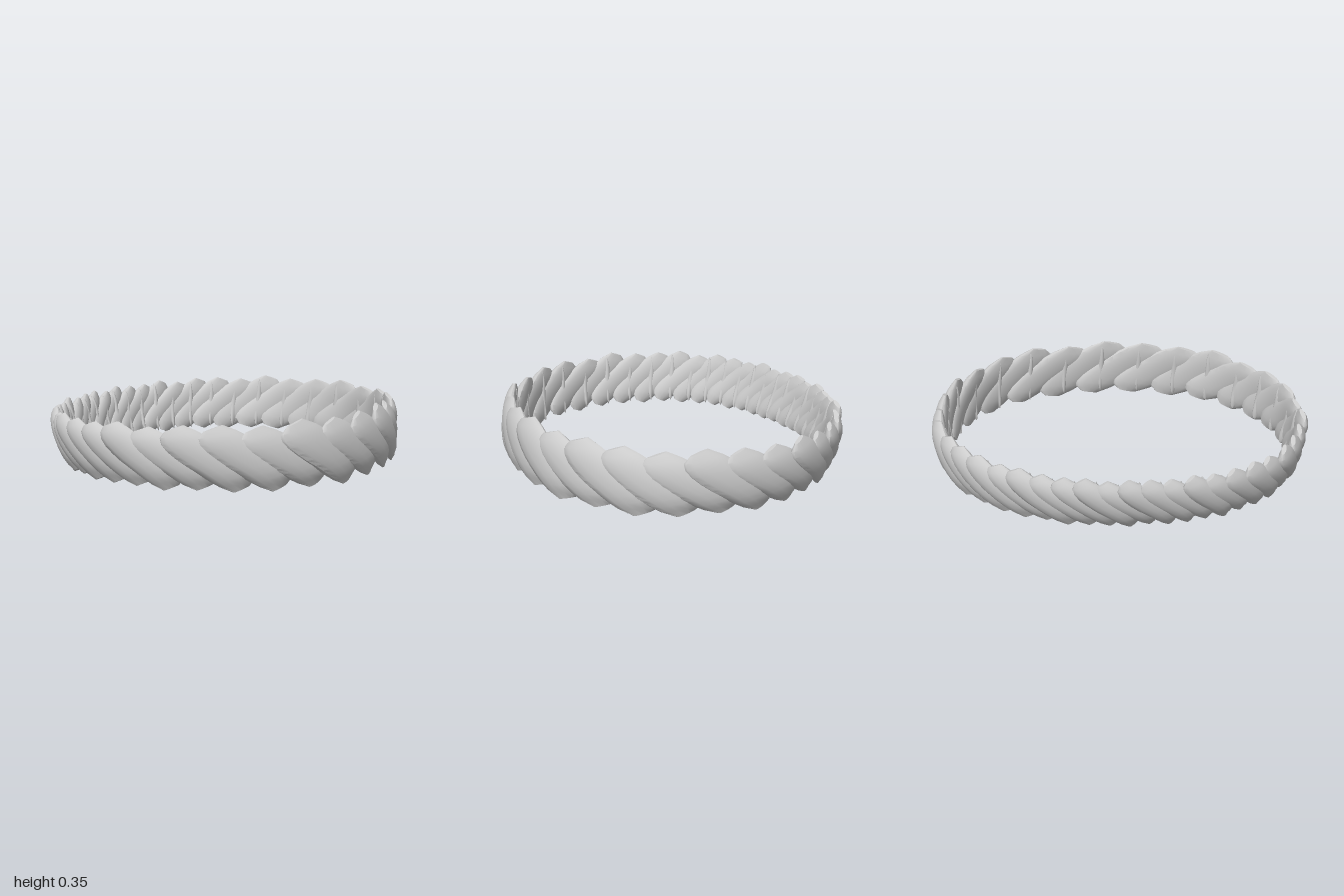
import * as THREE from 'three';
import { toCreasedNormals } from 'three/addons/utils/BufferGeometryUtils.js';

const DEG = Math.PI / 180;
const material = new THREE.MeshStandardMaterial({ color: 0xcccccc, side: THREE.DoubleSide });

// slightly skewed ring: radius every 22.5 degrees, from the left side (+x) round by the front
const radii = [0.957, 0.9, 0.853, 0.85, 0.88, 0.912, 0.937, 0.947,
  0.932, 0.875, 0.82, 0.82, 0.857, 0.92, 0.965, 0.972];
const ring = new THREE.CatmullRomCurve3(radii.map((r, i) =>
  new THREE.Vector3(r * Math.cos(i * 22.5 * DEG), 0, r * Math.sin(i * 22.5 * DEG))), true, 'centripetal');
const length = ring.getLength();

// 1 at the front left of the band, -1 at the opposite, crowded side
const frontness = (p) => Math.cos(Math.atan2(p.z, p.x) - 45 * DEG);
const flare = (p) => 0.045 - 0.055 * frontness(p);
const spacing = (p) => 0.168 + 0.066 * frontness(p);
const heightScale = (p) => 0.94 + 0.07 * frontness(p);

// maps arc position, height and radial offset onto the flared ring
function place(s, y, out) {
  const p = ring.getPointAt((((s / length) % 1) + 1) % 1);
  const r = Math.hypot(p.x, p.z), rise = (y - 0.18) * heightScale(p);
  const k = (r + out + flare(p) * rise / 0.3) / r;
  return [p.x * k, 0.18 + rise, p.z * k];
}

// lofts a closed lens section up the band, sheared along the ring
function loft(s0, { shear, width, depth, offset, tilt, low, high }) {
  const rows = 10, sides = 14, pos = [], idx = [];
  for (let j = 0; j <= rows; j++) {
    const v = j / rows, e = 2 * v - 1;
    const swell = 1 - 0.65 * Math.pow(Math.abs(e), 4);
    const lean = shear * (0.5 * e + 0.06 * Math.sin(Math.PI * e));
    for (let i = 0; i < sides; i++) {
      const a = (i / sides) * Math.PI * 2, u = Math.cos(a);
      const round = Math.sin(a) * depth * swell;
      const y = low + (high - low) * v - 0.03 * u * (1 - 0.5 * Math.abs(e));
      pos.push(...place(s0 + lean + u * width * 0.5 * swell, y,
        round + offset + tilt * u + 0.008 * (1 - 2 * e * e)));
    }
  }
  for (let j = 0; j < rows; j++) for (let i = 0; i < sides; i++) {
    const n = (i + 1) % sides, a = j * sides + i, b = j * sides + n;
    idx.push(a, a + sides, b, b, a + sides, b + sides);
  }
  const top = rows * sides;
  for (let i = 1; i < sides - 1; i++) {
    idx.push(0, i, i + 1, top, top + i + 1, top + i);
  }
  const g = new THREE.BufferGeometry();
  g.setAttribute('position', new THREE.Float32BufferAttribute(pos, 3));
  g.setIndex(idx);
  return toCreasedNormals(g, 40 * DEG);
}

export function createModel() {
  const model = new THREE.Group();
  model.name = 'twistedBand';
  const add = (name, geometry) => {
    const m = new THREE.Mesh(geometry, material);
    m.name = name;
    model.add(m);
  };

  // strand positions, scaled so the chain closes exactly
  const starts = [], steps = [];
  let s = 0;
  while (s < length) {
    const d = spacing(ring.getPointAt(s / length));
    starts.push(s);
    steps.push(d);
    s += d;
  }
  const fit = length / s;

  starts.forEach((start, i) => {
    const d = steps[i], s0 = start * fit, jag = 0.01 * Math.sin(i * 2.4);
    // overlapping diagonal strand
    add('strand', loft(s0, {
      shear: 0.16 + 0.9 * d, width: d * 1.25 + 0.01, depth: 0.037,
      offset: 0.002 + jag * 0.4, tilt: 0.014, low: 0.027 - jag * 0.5, high: 0.335 + jag,
    }));
    // slim upright seam on the inner face, peeping through the grooves outside
    add('seamRib', loft(s0 + d * 0.5, {
      shear: 0.02, width: 0.035, depth: 0.026,
      offset: -0.012, tilt: 0.004, low: 0.045, high: 0.31 + jag,
    }));
  });

  // centre the band and stand it on the ground
  const box = new THREE.Box3().setFromObject(model);
  const mid = box.getCenter(new THREE.Vector3());
  model.children.forEach((m) => m.geometry.translate(-mid.x, -box.min.y, -mid.z));
  return model;
}
